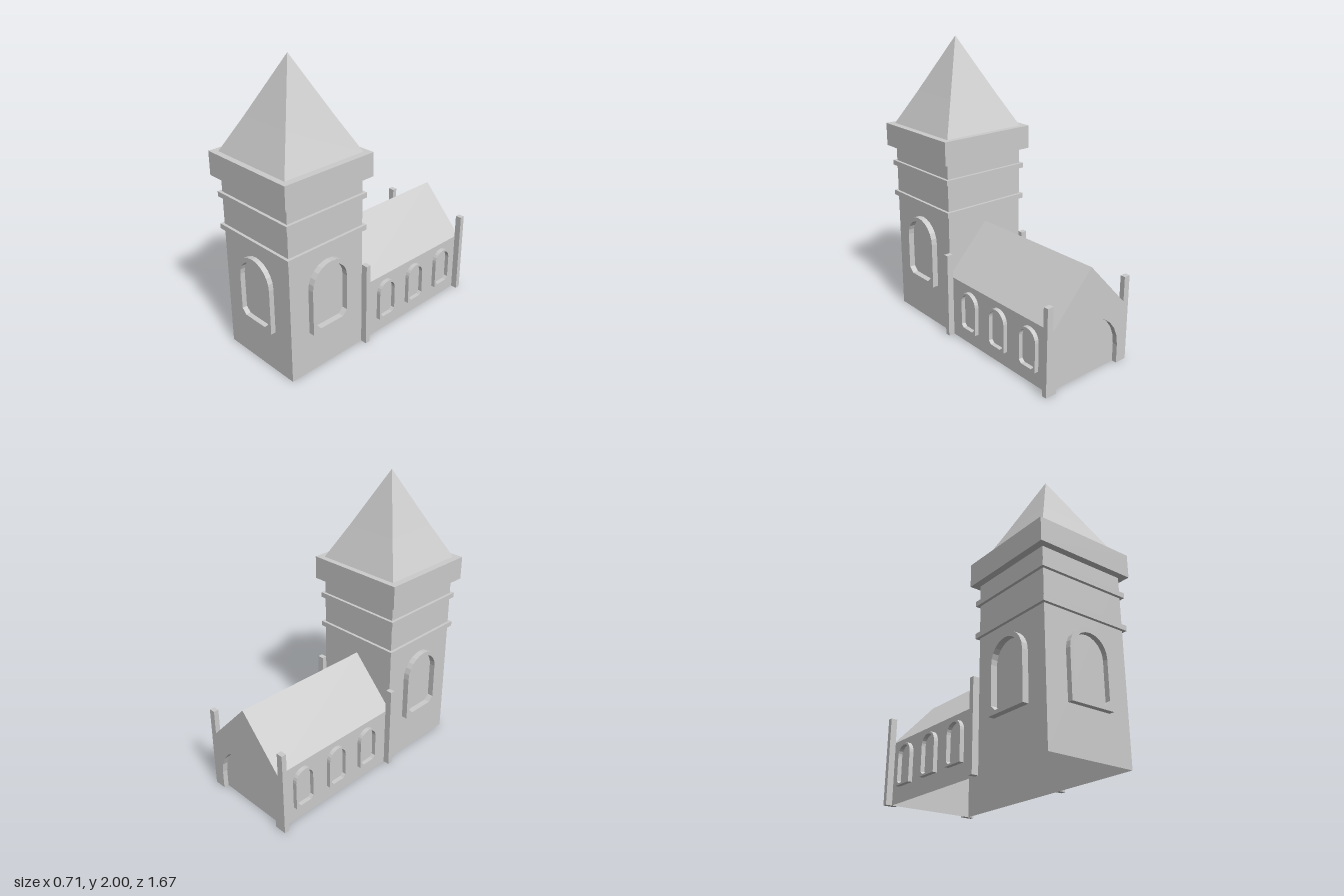
import * as THREE from 'three';

const grey = new THREE.MeshStandardMaterial({ color: 0xcccccc, flatShading: true });
const thin = new THREE.MeshStandardMaterial({ color: 0xcccccc, flatShading: true, side: THREE.DoubleSide });

const HALF = 0.31;          // half width of tower and nave
const TOWER_Z = 0.485;      // centre of the tower
const TOWER_TOP = 1.23;
const EAVES = 0.43, RIDGE = 0.76;
const JOIN = TOWER_Z - 0.305, END = -0.8, BACK = -0.835;

function polygon(points) {
  return new THREE.Shape(points.map(([x, y]) => new THREE.Vector2(x, y)));
}

// Round-headed outline, optionally with cut lower corners
function arch(half, bottom, top, cut = 0) {
  const s = new THREE.Shape();
  s.moveTo(-half + cut, bottom);
  s.lineTo(half - cut, bottom);
  if (cut) s.lineTo(half, bottom + cut);
  s.lineTo(half, top - half);
  s.absarc(0, top - half, half, 0, Math.PI, false);
  s.lineTo(-half, bottom + cut);
  return s;
}

function extrude(shape, depth) {
  return new THREE.ExtrudeGeometry(shape, { depth, bevelEnabled: false, curveSegments: 6 });
}

export function createModel() {
  const model = new THREE.Group();
  const add = (name, geometry, x = 0, y = 0, z = 0, turn = 0, material = grey) => {
    const mesh = new THREE.Mesh(geometry, material);
    mesh.name = name;
    mesh.position.set(x, y, z);
    mesh.rotation.y = turn;
    model.add(mesh);
    return mesh;
  };

  // Tower walls: open below, back wall cut away where the nave joins
  const depth = 0.61;
  const wall = (width, height) => new THREE.PlaneGeometry(width, height).translate(0, height / 2, 0);
  add('towerFrontWall', wall(2 * HALF, TOWER_TOP), 0, 0, TOWER_Z + depth / 2, 0, thin);
  const backWall = polygon([
    [-HALF, EAVES], [0, RIDGE], [HALF, EAVES], [HALF, TOWER_TOP], [-HALF, TOWER_TOP],
  ]);
  add('towerBackWall', new THREE.ShapeGeometry(backWall), 0, 0, JOIN, 0, thin);

  // Moulding bands around the tower
  for (const y of [0.86, 1.085]) {
    const ring = polygon([[-0.33, -0.325], [0.33, -0.325], [0.33, 0.325], [-0.33, 0.325]]);
    ring.holes.push(polygon([[-HALF, -0.305], [-HALF, 0.305], [HALF, 0.305], [HALF, -0.305]]));
    add('towerBand', extrude(ring, 0.035).rotateX(-Math.PI / 2), 0, y, TOWER_Z);
  }

  // Cornice and slightly flared spire
  add('cornice', new THREE.BoxGeometry(0.715, 0.16, 0.7), 0, 1.31, TOWER_Z);
  const profile = [[HALF, 1.39], [0.19, 1.62], [0, 2]]
    .map(([r, y]) => new THREE.Vector2(r * Math.SQRT2, y));
  add('spire', new THREE.LatheGeometry(profile, 4, Math.PI / 4).toNonIndexed(), 0, 0, TOWER_Z);

  // Window surrounds
  const bigFrame = d => {
    const s = arch(0.157, 0.3, 0.775);
    s.holes.push(arch(0.13, 0.325, 0.745, 0.035));
    return extrude(s, d);
  };
  const smallFrame = () => {
    const s = arch(0.08, 0.11, 0.39);
    s.holes.push(arch(0.065, 0.122, 0.375, 0.02));
    return extrude(s, 0.03);
  };
  add('towerFrontWindow', bigFrame(0.035), 0, 0, TOWER_Z + depth / 2);

  // Both sides of tower and nave
  const naveLength = JOIN - BACK;
  for (const side of [-1, 1]) {
    const turn = side * Math.PI / 2;
    add('towerSideWall', wall(depth, TOWER_TOP), side * HALF, 0, TOWER_Z, turn, thin);
    add('towerSideWindow', bigFrame(0.042), side * HALF, 0, TOWER_Z, turn);
    add('naveSideWall', wall(naveLength, EAVES), side * HALF, 0, (JOIN + BACK) / 2, turn, thin);
    for (const z of [-0.05, -0.34, -0.635]) add('naveWindow', smallFrame(), side * HALF, 0, z, turn);

    // Corner posts
    for (const z of [JOIN - 0.0175, BACK + 0.0175]) {
      add('cornerPost', new THREE.BoxGeometry(0.045, 0.6, 0.035), side * (HALF + 0.0225), 0.3, z);
    }

    // Roof slope
    const rise = RIDGE - EAVES;
    const slope = new THREE.PlaneGeometry(naveLength, Math.hypot(HALF, rise))
      .rotateX(-Math.atan2(HALF, rise));
    add('naveRoof', slope, side * HALF / 2, (EAVES + RIDGE) / 2, (JOIN + BACK) / 2, turn, thin);
  }

  // Gable end with a recessed arch
  const outline = [[HALF, EAVES], [0, RIDGE], [-HALF, EAVES], [-HALF, 0]];
  const gable = polygon([[HALF, 0], ...outline, [-0.27, 0]]);
  gable.lineTo(-0.27, 0.13);
  gable.absarc(0, 0.13, 0.27, Math.PI, 0, true);
  gable.lineTo(0.27, 0);
  add('gableWall', extrude(gable, END - BACK), 0, 0, BACK);
  add('archPanel', new THREE.ShapeGeometry(polygon([[HALF, 0], ...outline])), 0, 0, END, 0, thin);

  return model;
}
